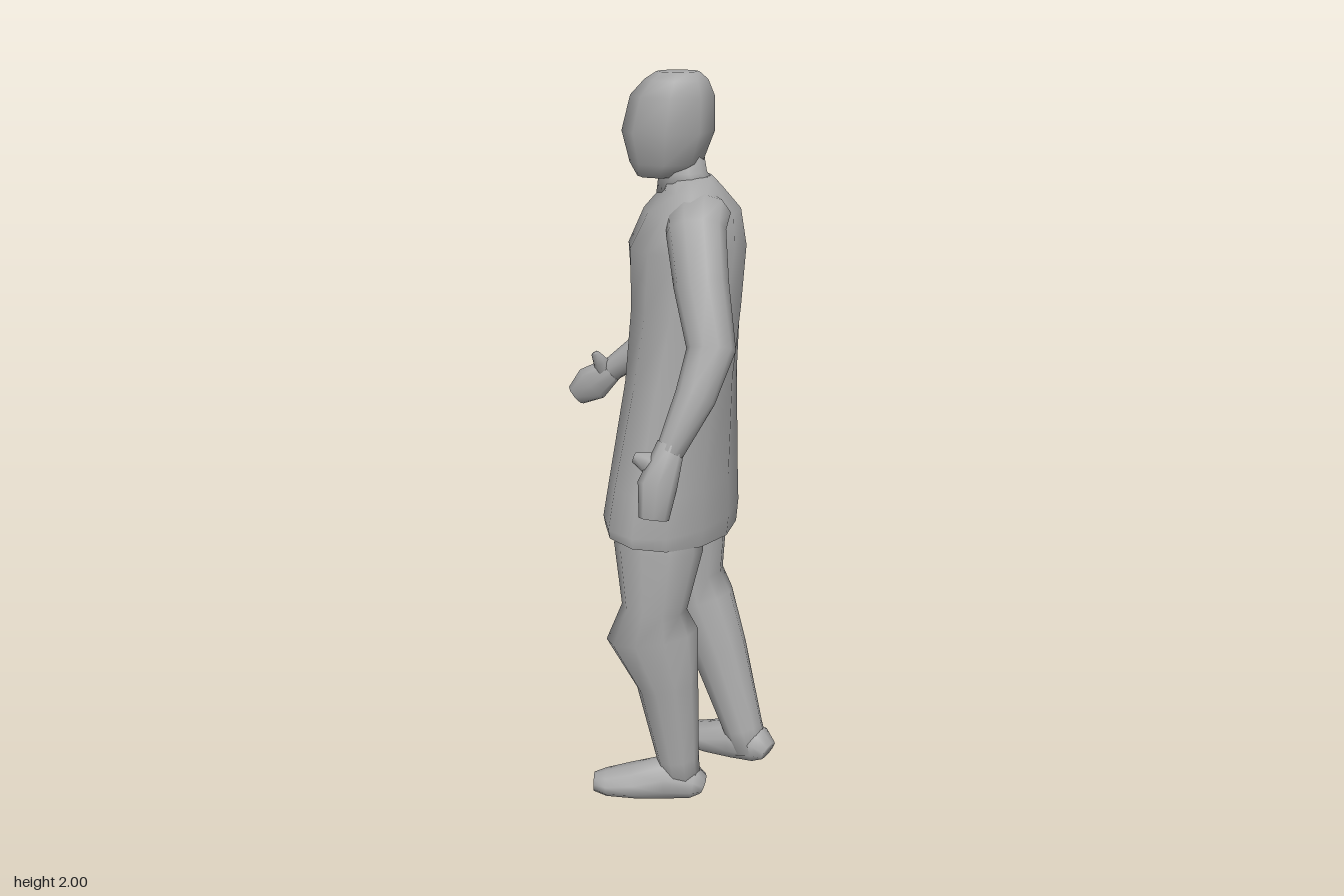
import * as THREE from 'three';

const grey = new THREE.MeshStandardMaterial({ color: 0xa8a8a8 });
grey.name = 'plain grey';

// Skin through elliptical rings [x, y, z, depth radius, side radius, yaw in degrees].
// Rings lie level when flat is true, otherwise square to the path.
function loft(name, rings, { sides = 10, flat = false, open = false, yaw = 20, rule } = {}) {
  const centres = rings.map(r => new THREE.Vector3(r[0], r[1], r[2]));
  const pos = [], index = [], n = rings.length;
  rings.forEach((r, i) => {
    const angle = THREE.MathUtils.degToRad(r[5] ?? yaw);
    const side = new THREE.Vector3(-Math.sin(angle), 0, Math.cos(angle));
    const t = flat ? new THREE.Vector3(0, 1, 0)
      : centres[Math.min(i + 1, n - 1)].clone().sub(centres[Math.max(i - 1, 0)]).normalize();
    const u = side.cross(t).normalize();
    const v = t.clone().cross(u);
    for (let j = 0; j < sides; j++) {
      const a = (j / sides) * Math.PI * 2;
      const p = centres[i].clone()
        .addScaledVector(u, r[3] * Math.cos(a)).addScaledVector(v, r[4] * Math.sin(a));
      if (rule) rule(p);
      pos.push(p.x, p.y, p.z);
    }
  });
  for (let i = 0; i < n - 1; i++) {
    for (let j = 0; j < sides; j++) {
      const a = i * sides + j, b = i * sides + (j + 1) % sides;
      index.push(a, b, b + sides, a, b + sides, a + sides);
    }
  }
  // End caps; an open part has none at its start
  const first = centres[0].clone(), last = centres[n - 1].clone();
  if (rule) { rule(first); rule(last); }
  pos.push(...last.toArray(), ...first.toArray());
  const end = n * sides, top = (n - 1) * sides;
  for (let j = 0; j < sides; j++) {
    const k = (j + 1) % sides;
    index.push(end, top + j, top + k);
    if (!open) index.push(end + 1, k, j);
  }
  const g = new THREE.BufferGeometry();
  g.setAttribute('position', new THREE.Float32BufferAttribute(pos, 3));
  g.setIndex(index);
  g.computeVertexNormals();
  const mesh = new THREE.Mesh(g, grey);
  mesh.name = name;
  return mesh;
}

export function createModel() {
  const model = new THREE.Group();
  model.name = 'walkingFigure';
  const add = (...args) => model.add(loft(...args));

  // Dress: open below, hips turned further than the shoulders, hem tilted and drawn in a little
  add('dress', [
    [-0.012, 0.772, 0.016, 0.165, 0.26, 40],
    [-0.012, 0.82, 0.018, 0.17, 0.265, 40],
    [-0.005, 0.93, 0.02, 0.16, 0.25, 40],
    [0.015, 1.2, 0.022, 0.143, 0.207, 36],
    [0.025, 1.4, 0.03, 0.148, 0.18, 30],
    [0.03, 1.56, 0.02, 0.157, 0.185, 25],
    [0.05, 1.65, 0, 0.128, 0.2, 20],
    [0.05, 1.705, 0, 0.08, 0.16, 18],
    [0.04, 1.735, -0.003, 0.062, 0.07, 15],
  ], { sides: 12, flat: true, open: true, rule: p => { if (p.y < 0.8) p.y -= 0.1 * p.x; } });

  // Neck and head
  add('neck', [
    [0.045, 1.69, 0, 0.09, 0.1],
    [0.025, 1.745, -0.004, 0.063, 0.068],
    [0.015, 1.82, -0.005, 0.06, 0.065],
  ], { flat: true });
  add('head', [
    [-0.035, 1.735, -0.01, 0.06, 0.05],
    [-0.02, 1.77, -0.007, 0.095, 0.08],
    [-0.013, 1.85, -0.012, 0.121, 0.107],
    [-0.002, 1.94, -0.01, 0.109, 0.104],
    [0.007, 1.98, -0.004, 0.082, 0.082],
    [0.01, 2.0, 0, 0.055, 0.05],
  ], { sides: 8, flat: true, yaw: 20 });

  // Left arm, hanging
  add('leftArm', [
    [0.05, 1.655, 0.04, 0.06, 0.05],
    [0.025, 1.645, 0.13, 0.085, 0.062],
    [-0.002, 1.622, 0.2, 0.076, 0.064],
    [-0.005, 1.5, 0.255, 0.07, 0.063],
    [0, 1.35, 0.325, 0.062, 0.06],
    [-0.05, 1.24, 0.355, 0.052, 0.048],
    [-0.125, 1.11, 0.382, 0.035, 0.03],
  ]);
  add('leftHand', [
    [-0.12, 1.13, 0.38, 0.035, 0.028],
    [-0.16, 1.03, 0.393, 0.05, 0.028],
    [-0.172, 0.945, 0.402, 0.038, 0.018],
  ], { sides: 8 });
  add('leftThumb', [
    [-0.135, 1.06, 0.387, 0.04, 0.024],
    [-0.18, 1.085, 0.365, 0.028, 0.02],
    [-0.208, 1.095, 0.35, 0.014, 0.012],
  ], { sides: 6 });

  // Right arm, bent forward
  add('rightArm', [
    [0.07, 1.655, -0.03, 0.06, 0.05],
    [0.105, 1.645, -0.12, 0.085, 0.062],
    [0.125, 1.622, -0.188, 0.076, 0.064],
    [0.13, 1.47, -0.212, 0.062, 0.066],
    [0.14, 1.32, -0.25, 0.06, 0.058],
    [0.04, 1.225, -0.302, 0.05, 0.046],
    [-0.09, 1.12, -0.355, 0.035, 0.028],
  ]);
  add('rightHand', [
    [-0.08, 1.13, -0.352, 0.035, 0.026],
    [-0.14, 1.075, -0.385, 0.055, 0.026],
    [-0.182, 1.035, -0.413, 0.033, 0.018],
  ], { sides: 8 });
  add('rightThumb', [
    [-0.095, 1.09, -0.367, 0.032, 0.022],
    [-0.12, 1.15, -0.353, 0.022, 0.018],
    [-0.138, 1.178, -0.346, 0.012, 0.01],
  ], { sides: 6 });

  // Legs, from inside the dress to the ankles
  add('leftLeg', [
    [-0.06, 0.9, 0.1, 0.1, 0.11],
    [-0.08, 0.75, 0.12, 0.122, 0.12],
    [-0.097, 0.58, 0.137, 0.09, 0.095],
    [-0.105, 0.5, 0.14, 0.128, 0.092],
    [-0.065, 0.35, 0.155, 0.087, 0.076],
    [-0.04, 0.12, 0.172, 0.06, 0.05],
    [-0.032, 0.05, 0.178, 0.055, 0.044],
  ]);
  add('rightLeg', [
    [0.06, 0.9, -0.085, 0.09, 0.1],
    [0.085, 0.75, -0.085, 0.096, 0.112],
    [0.087, 0.58, -0.065, 0.075, 0.092],
    [0.1, 0.5, -0.057, 0.094, 0.098],
    [0.14, 0.35, -0.008, 0.083, 0.08],
    [0.193, 0.12, 0.065, 0.06, 0.055],
    [0.21, 0.055, 0.085, 0.055, 0.05],
  ], { yaw: 40 });

  // Feet: heel to toe along a heading, flattened at the sole, the heel lifted
  const foot = (name, x, z, heading, lift) => {
    const a = THREE.MathUtils.degToRad(heading), c = Math.cos(a), s = Math.sin(a);
    const at = (d, y, h, w) => [x - c * d, y, z - s * d, h, w];
    add(name, [
      at(0, 0.032, 0.028, 0.036),
      at(0.03, 0.045, 0.052, 0.052),
      at(0.11, 0.05, 0.064, 0.056),
      at(0.2, 0.038, 0.046, 0.064),
      at(0.275, 0.03, 0.034, 0.054),
      at(0.31, 0.03, 0.024, 0.034),
    ], {
      yaw: heading,
      rule: p => {
        const along = (x - p.x) * c + (z - p.z) * s;
        p.y = Math.max(p.y, 0) + 0.005 + lift * (1 - along / 0.31);
      },
    });
  };
  foot('leftFoot', 0.028, 0.192, 18, -0.005);
  foot('rightFoot', 0.25, 0.125, 50, 0.028);

  return model;
}
